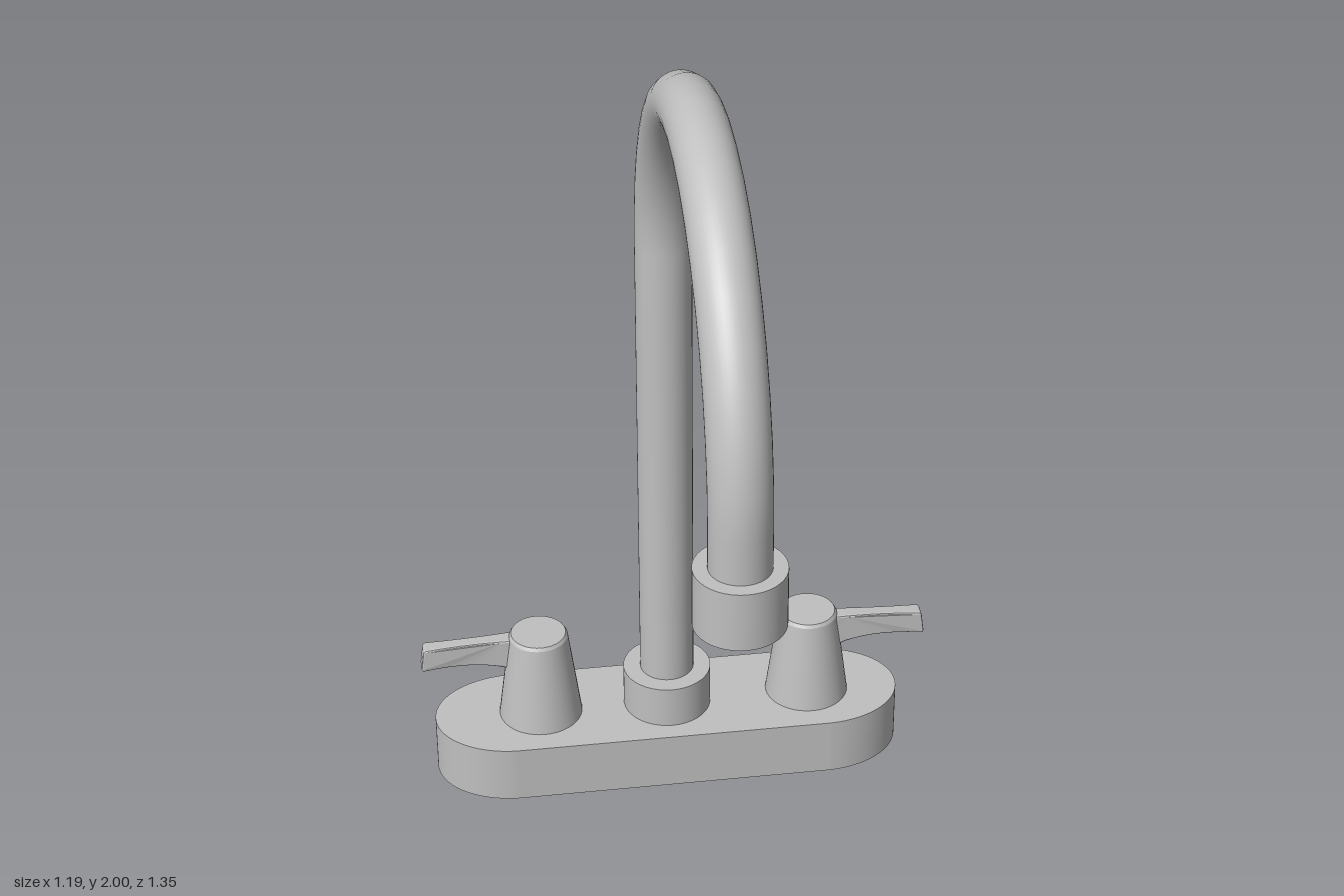
import * as THREE from 'three';

const CX = -0.02, BACK = -0.523, FRONT = 0.58;

export function createModel() {
  const model = new THREE.Group();
  model.name = 'faucet';
  const metal = new THREE.MeshStandardMaterial({ color: 0xc0c0c0 });
  metal.name = 'brushed metal';
  metal.side = THREE.DoubleSide;

  const add = (name, geometry, x, y, z, parent = model) => {
    const mesh = new THREE.Mesh(geometry, metal);
    mesh.name = name;
    mesh.position.set(x, y, z);
    parent.add(mesh);
    return mesh;
  };
  // Upright cylinder between two heights
  const post = (name, r, y0, y1, z) =>
    add(name, new THREE.CylinderGeometry(r, r, y1 - y0, 40), CX, (y0 + y1) / 2, z);

  // Base: hollow shell, open below, a unit circle stretched into a long oval
  const stretch = (g) => {
    const p = g.attributes.position;
    for (let i = 0; i < p.count; i++) {
      const x = p.getX(i);
      const sign = Math.abs(x) < 1e-6 ? 0 : Math.sign(x);
      p.setX(i, sign * 0.363 + x * 0.19);
      p.setZ(i, p.getZ(i) * 0.149);
    }
    g.computeVertexNormals();
    return g;
  };
  const half = Math.PI / 64;
  add('baseWall', stretch(new THREE.CylinderGeometry(1, 1, 0.142, 64, 1, true, half)), CX, 0.071, -0.524);
  add('baseTop', stretch(new THREE.CircleGeometry(1, 64, half).rotateX(-Math.PI / 2)), CX, 0.142, -0.524);

  // Spout: riser, half-circle bend, short drop and nozzle
  const bend = (FRONT - BACK) / 2, pipe = 0.063, bendY = 2 - pipe - bend;
  post('spoutCollar', 0.103, 0.142, 0.247, BACK);
  post('spoutRiser', pipe, 0.2, bendY, BACK);
  add('spoutBend', new THREE.TorusGeometry(bend, pipe, 40, 20, Math.PI).rotateY(Math.PI / 2),
    CX, bendY, (FRONT + BACK) / 2);
  post('spoutDrop', pipe, 1.25, bendY, FRONT);
  post('nozzle', 0.093, 1.165, 1.295, FRONT);

  // Lever: side outline extruded across, wider at the hub and the tip
  const outline = new THREE.Shape();
  outline.moveTo(0.03, 0.278);
  outline.lineTo(0.07, 0.278);
  outline.quadraticCurveTo(0.14, 0.305, 0.27, 0.291);
  outline.quadraticCurveTo(0.277, 0.291, 0.277, 0.298);
  outline.lineTo(0.271, 0.343);
  outline.quadraticCurveTo(0.269, 0.35, 0.262, 0.35);
  outline.quadraticCurveTo(0.16, 0.357, 0.03, 0.36);
  const lever = new THREE.ExtrudeGeometry(outline, {
    depth: 0.022, curveSegments: 8, bevelThickness: 0.005, bevelSize: 0.004, bevelOffset: -0.004, bevelSegments: 2,
  });
  lever.translate(0, 0, -0.011);
  const p = lever.attributes.position;
  for (let i = 0; i < p.count; i++) {
    const d = (p.getX(i) - 0.17) / 0.1;
    p.setZ(i, p.getZ(i) * (1 + 0.25 * Math.min(d * d, 1.3)));
  }
  lever.computeVertexNormals();

  // Handle hub: tapered, with a small eased top edge
  const side = new THREE.LatheGeometry(
    [[0.098, 0.142], [0.069, 0.362]].map(([x, y]) => new THREE.Vector2(x, y)), 40);
  const edge = new THREE.LatheGeometry(
    [[0.069, 0.362], [0.064, 0.37]].map(([x, y]) => new THREE.Vector2(x, y)), 40);
  const cap = new THREE.CircleGeometry(0.064, 40).rotateX(-Math.PI / 2);

  for (const [name, x, turn] of [['leftHandle', 0.317, 0], ['rightHandle', -0.322, Math.PI]]) {
    const handle = new THREE.Group();
    handle.name = name;
    handle.position.set(x, 0, -0.526);
    handle.rotation.y = turn;
    add('hubSide', side, 0, 0, 0, handle);
    add('hubEdge', edge, 0, 0, 0, handle);
    add('hubCap', cap, 0, 0.37, 0, handle);
    add('lever', lever, 0, 0, 0.007, handle);
    model.add(handle);
  }
  return model;
}
